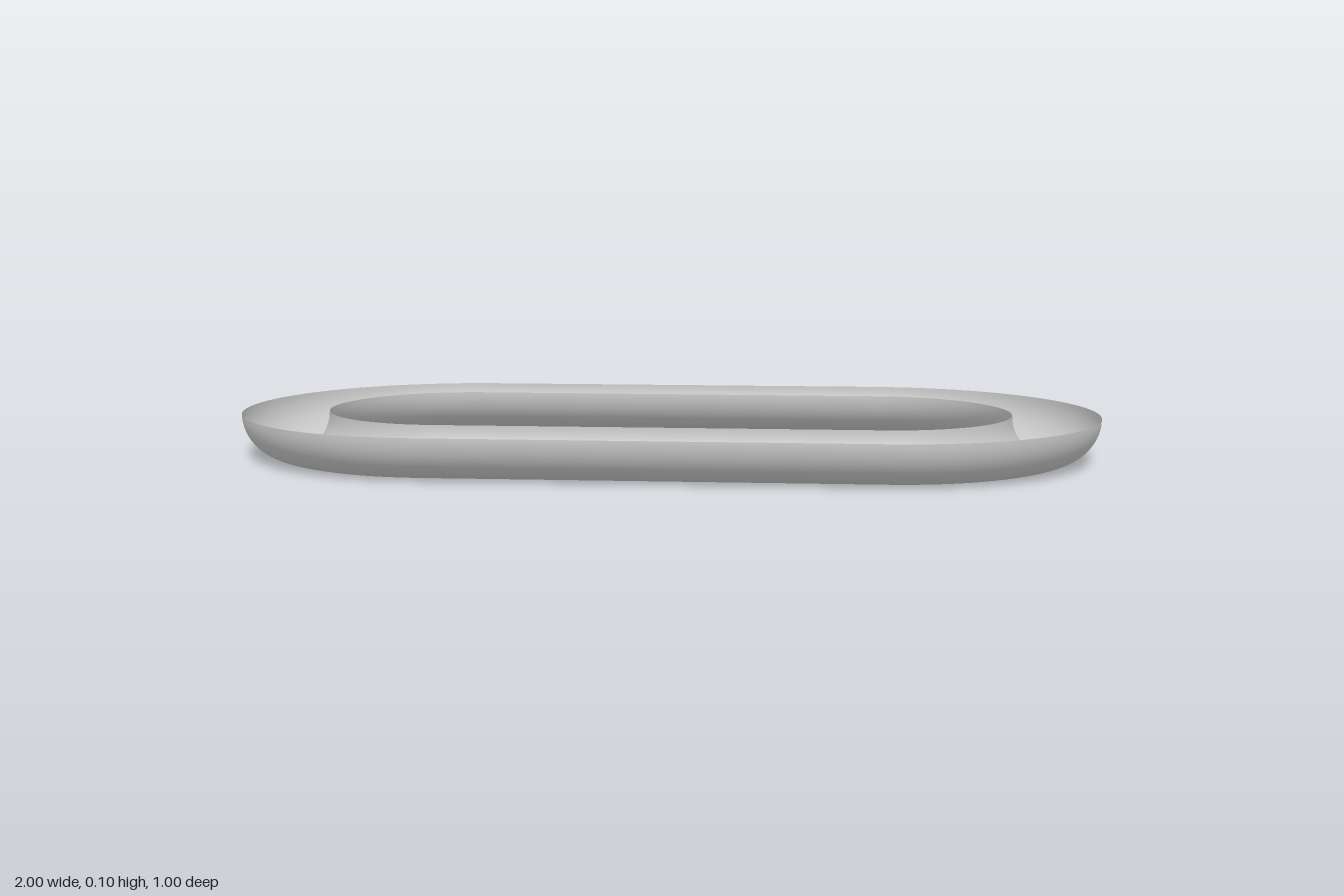
import * as THREE from 'three';

const RADIUS = 0.1;    // half-round channel section
const BEND = 0.4;      // centreline radius of the rounded ends
const STRAIGHT = 1;    // length of the straight runs

export function createModel() {
  const group = new THREE.Group();
  group.name = 'ovalChannel';
  const material = new THREE.MeshStandardMaterial({ color: 0xcccccc, side: THREE.DoubleSide });

  const add = (name, geometry, x, z, turn = 0) => {
    const mesh = new THREE.Mesh(geometry, material);
    mesh.name = name;
    mesh.position.set(x, 0, z);
    mesh.rotation.y = turn;
    group.add(mesh);
  };

  // Lower half circle, swept through half a turn for each rounded end
  const profile = [];
  for (let i = 0; i <= 32; i++) {
    const a = Math.PI * (1 + i / 32);
    profile.push(new THREE.Vector2(BEND + RADIUS * Math.cos(a), RADIUS + RADIUS * Math.sin(a)));
  }
  const bend = new THREE.LatheGeometry(profile, 64, 0, Math.PI);
  add('leftBend', bend, STRAIGHT / 2, 0);
  add('rightBend', bend, -STRAIGHT / 2, 0, Math.PI);

  // Open half cylinders lying along x for the straight runs
  const run = new THREE.CylinderGeometry(RADIUS, RADIUS, STRAIGHT, 32, 1, true, Math.PI, Math.PI);
  run.rotateZ(Math.PI / 2).translate(0, RADIUS, 0);
  add('frontRun', run, 0, BEND);
  add('backRun', run, 0, -BEND);

  return group;
}
